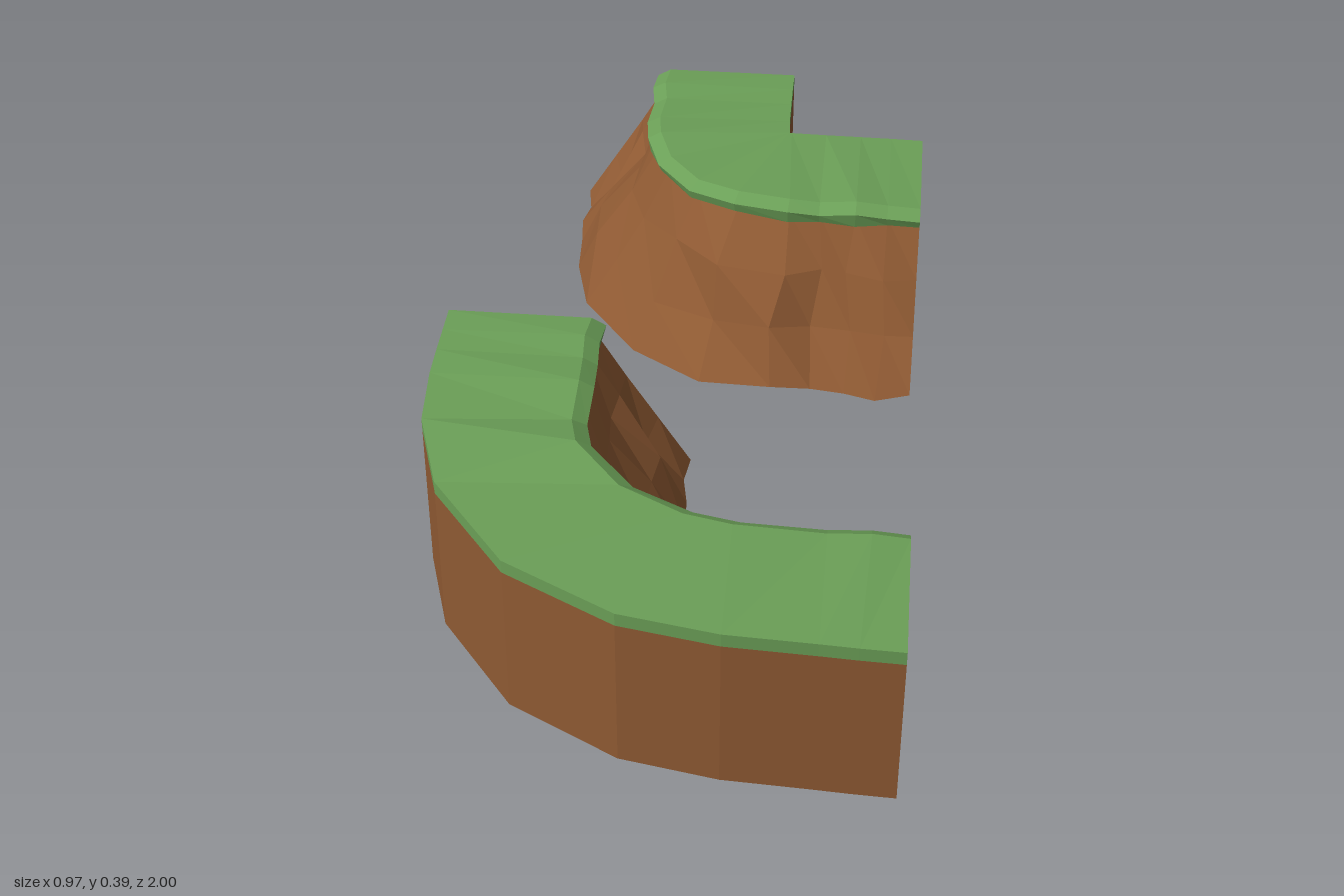
import * as THREE from 'three';

const BASE = 0.013, DIRT_TOP = 0.342, TOP = 0.37;

// Each station: back wall x,z | grass rim x,z | cliff toe x,z | rim height | lip bottom | toe height
const INNER_BEND = [
  [-0.483, 0.06, -0.155, 0.06, 0.02, 0.06, 0.37, 0.332, 0.013],
  [-0.483, 0.13, -0.16, 0.13, 0.012, 0.13, 0.376, 0.325, 0.013],
  [-0.483, 0.2, -0.155, 0.2, 0.025, 0.2, 0.37, 0.335, 0.009],
  [-0.482, 0.28, -0.15, 0.29, 0.028, 0.28, 0.382, 0.33, 0.013],
  [-0.47, 0.43, -0.15, 0.4, 0.04, 0.35, 0.372, 0.327, 0.013],
  [-0.41, 0.62, -0.13, 0.49, 0.08, 0.44, 0.392, 0.34, 0.008],
  [-0.25, 0.83, -0.04, 0.58, 0.13, 0.467, 0.371, 0.325, 0.01],
  [-0.03, 0.95, 0.08, 0.65, 0.19, 0.485, 0.377, 0.34, 0.006],
  [0.16, 0.985, 0.17, 0.67, 0.26, 0.492, 0.377, 0.342, 0.013],
  [0.33, 0.993, 0.33, 0.668, 0.33, 0.482, 0.37, 0.335, 0.01],
  [0.4, 0.997, 0.41, 0.668, 0.4, 0.497, 0.376, 0.34, 0.0],
  [0.482, 1.0, 0.482, 0.668, 0.482, 0.487, 0.37, 0.342, 0.013]
];
const OUTER_BEND = [
  [0.17, -1, -0.16, -1, -0.335, -1, 0.37, 0.342, 0.013],
  [0.17, -0.93, -0.165, -0.93, -0.325, -0.94, 0.374, 0.335, 0.002],
  [0.171, -0.86, -0.155, -0.86, -0.335, -0.86, 0.37, 0.342, 0.013],
  [0.172, -0.78, -0.16, -0.76, -0.325, -0.77, 0.377, 0.335, 0.013],
  [0.175, -0.727, -0.15, -0.68, -0.32, -0.67, 0.382, 0.33, 0.004],
  [0.175, -0.727, -0.115, -0.58, -0.28, -0.51, 0.372, 0.34, 0.01],
  [0.175, -0.727, -0.035, -0.475, -0.15, -0.34, 0.372, 0.335, 0.004],
  [0.175, -0.727, 0.07, -0.42, 0.01, -0.23, 0.378, 0.34, 0.007],
  [0.18, -0.726, 0.19, -0.397, 0.17, -0.217, 0.378, 0.332, 0.013],
  [0.26, -0.724, 0.26, -0.4, 0.26, -0.219, 0.371, 0.335, 0.013],
  [0.34, -0.723, 0.34, -0.392, 0.335, -0.214, 0.383, 0.332, 0.009],
  [0.41, -0.722, 0.41, -0.396, 0.405, -0.2, 0.374, 0.338, 0.004],
  [0.482, -0.72, 0.482, -0.396, 0.482, -0.216, 0.37, 0.336, 0.013]
];

function seeded(seed) {
  return () => {
    seed = (seed * 16807) % 2147483647;
    return seed / 2147483647 - 0.5;
  };
}

// Joins closed cross-sections into a capped solid; flip turns the faces over
function loft(sections, flip) {
  const pos = [], index = [], n = sections[0].length, last = (sections.length - 1) * n;
  sections.forEach(s => s.forEach(p => pos.push(...p)));
  const tri = (a, b, c) => (flip ? index.push(a, c, b) : index.push(a, b, c));
  for (let i = 0; i < sections.length - 1; i++) {
    for (let j = 0; j < n; j++) {
      const a = i * n + j, b = i * n + (j + 1) % n;
      tri(a, a + n, b + n);
      tri(a, b + n, b);
    }
  }
  for (let j = 1; j < n - 1; j++) {
    tri(0, j, j + 1);
    tri(last, last + j + 1, last + j);
  }
  const indexed = new THREE.BufferGeometry();
  indexed.setAttribute('position', new THREE.Float32BufferAttribute(pos, 3));
  indexed.setIndex(index);
  const geometry = indexed.toNonIndexed();
  geometry.computeVertexNormals();
  return geometry;
}

function terrainPiece(name, stations, flip, seed, dirt, grass) {
  const rnd = seeded(seed);
  const dirtSections = [], grassSections = [];
  stations.forEach(([ox, oz, rx, rz, tx, tz, rimY, lipY, toeY], i) => {
    const inside = i > 0 && i < stations.length - 1 ? 1 : 0;
    const length = Math.hypot(tx - rx, tz - rz);
    const ux = (tx - rx) / length, uz = (tz - rz) / length;
    // Point at a distance out from the rim, with an optional sideways shift
    const out = (d, y, side = 0) => [rx + ux * d - uz * side, y, rz + uz * d + ux * side];
    const slope = t => {
      const d = -0.028 + (length + 0.028) * t + rnd() * 0.045 * inside;
      return out(d, 0.335 + (toeY - 0.335) * t + rnd() * 0.03 * inside, rnd() * 0.03 * inside);
    };
    // Earth with a rough sloping cliff
    dirtSections.push([
      [ox, BASE, oz], [ox, DIRT_TOP, oz], out(-0.028, DIRT_TOP),
      slope(0.33), slope(0.66), [tx, toeY, tz]
    ]);
    // Turf with a drooping lip over the cliff
    grassSections.push([
      [ox, DIRT_TOP, oz], [ox, TOP, oz], out(-0.03, rimY),
      out(0, rimY - 0.017), out(-0.006, lipY), out(-0.035, lipY + 0.004)
    ]);
  });
  const group = new THREE.Group();
  group.name = name;
  const add = (part, sections, material) => {
    const mesh = new THREE.Mesh(loft(sections, flip), material);
    mesh.name = part;
    group.add(mesh);
  };
  add('earthCliff', dirtSections, dirt);
  add('grassTop', grassSections, grass);
  return group;
}

export function createModel() {
  const dirt = new THREE.MeshStandardMaterial({ color: 0x8f5a33 });
  dirt.name = 'brown earth';
  const grass = new THREE.MeshStandardMaterial({ color: 0x6b9f57 });
  grass.name = 'green grass';

  const model = new THREE.Group();
  model.name = 'cliffBends';
  model.add(
    terrainPiece('innerBend', INNER_BEND, false, 11, dirt, grass),
    terrainPiece('outerBend', OUTER_BEND, true, 29, dirt, grass)
  );
  return model;
}
